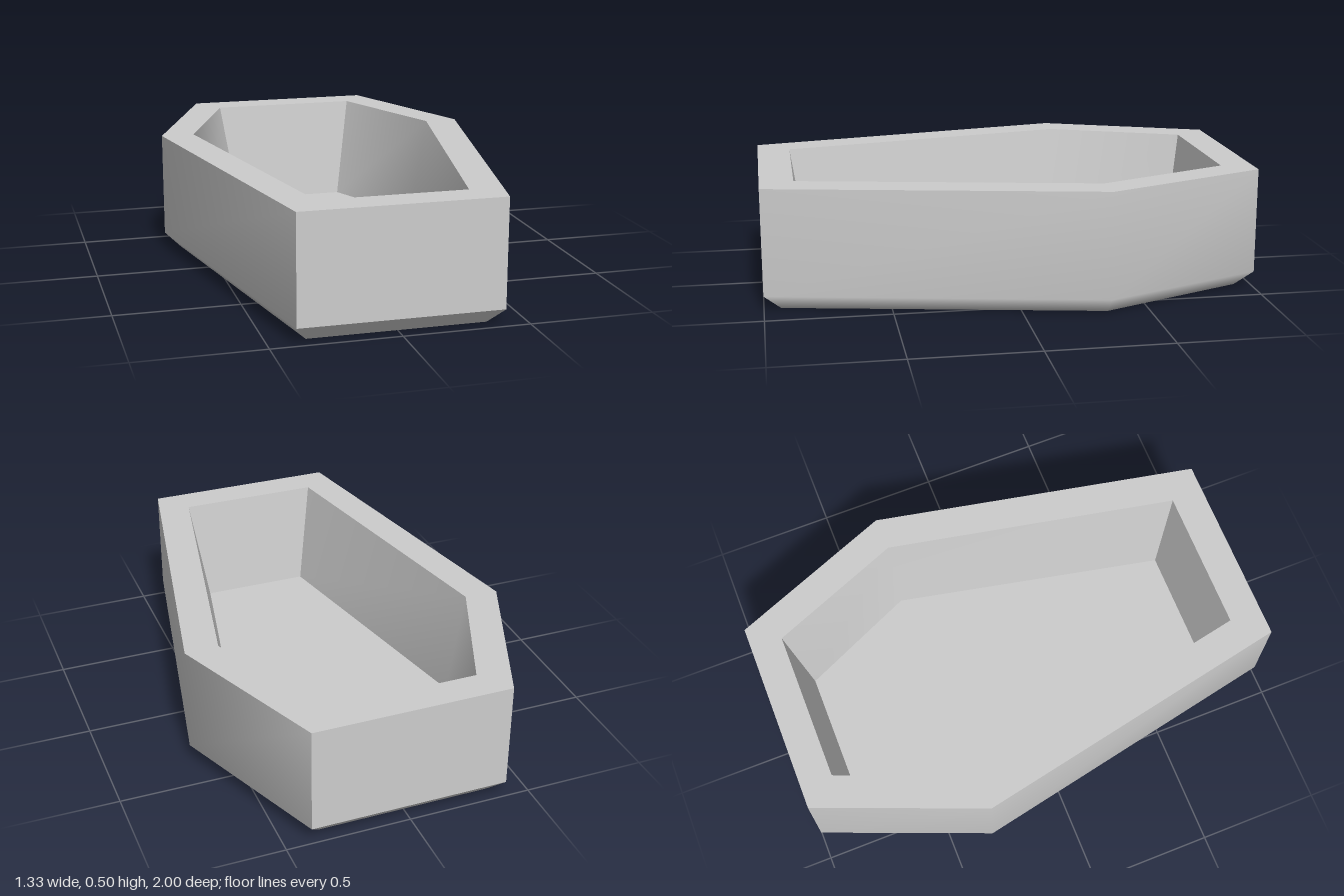
import * as THREE from 'three';
import { mergeVertices } from 'three/addons/utils/BufferGeometryUtils.js';

// Six-sided ring: half widths at back, waist and front, with their z positions
function ring(y, [xb, zb], [xw, zw], [xf, zf]) {
  return [[-xb, y, zb], [xb, y, zb], [xw, y, zw], [xf, y, zf], [-xf, y, zf], [-xw, y, zw]];
}

const bottom = ring(0, [0.35, -0.933], [0.6, -0.333], [0.35, 0.933]);
const bevelTop = ring(0.067, [0.4, -1], [0.667, -0.333], [0.4, 1]);
const rimOuter = ring(0.5, [0.4, -1], [0.667, -0.333], [0.4, 1]);
const rimInner = ring(0.5, [0.31, -0.87], [0.53, -0.328], [0.292, 0.865]);
const floorRing = ring(0.067, [0.245, -0.805], [0.462, -0.328], [0.226, 0.8]);

const ENDS = [0, 3];
const SIDES = [1, 2, 4, 5];

// Quads joining two rings along the chosen edges
function band(lower, upper, edges) {
  return edges.map((i) => {
    const j = (i + 1) % 6;
    return [lower[j], lower[i], upper[i], upper[j]];
  });
}

// Polygons to geometry; smooth ones share vertices, the others stay faceted
function surface(polygons, smooth) {
  const positions = [];
  for (const p of polygons) {
    for (let k = 1; k < p.length - 1; k++) positions.push(...p[0], ...p[k], ...p[k + 1]);
  }
  let geometry = new THREE.BufferGeometry();
  geometry.setAttribute('position', new THREE.Float32BufferAttribute(positions, 3));
  if (smooth) geometry = mergeVertices(geometry);
  geometry.computeVertexNormals();
  return geometry;
}

export function createModel() {
  const group = new THREE.Group();
  const stone = new THREE.MeshStandardMaterial({ color: 0xcccccc });
  stone.name = 'greyStone';

  function add(name, polygons, smooth = false) {
    const mesh = new THREE.Mesh(surface(polygons, smooth), stone);
    mesh.name = name;
    group.add(mesh);
  }

  // Outer shell: long sides flow smoothly into the bevel and underside
  add('outerSidesAndBase', [
    ...band(bevelTop, rimOuter, SIDES),
    ...band(bottom, bevelTop, SIDES),
    bottom,
  ], true);
  add('outerEnds', band(bevelTop, rimOuter, ENDS));
  add('endBevels', band(bottom, bevelTop, ENDS));

  // Flat rim around the opening
  add('rim', band(rimOuter, rimInner, [...ENDS, ...SIDES]));

  // Hollow with sloping walls
  add('innerSides', band(rimInner, floorRing, SIDES), true);
  add('innerEnds', band(rimInner, floorRing, ENDS));
  add('innerFloor', [[...floorRing].reverse()]);

  return group;
}
